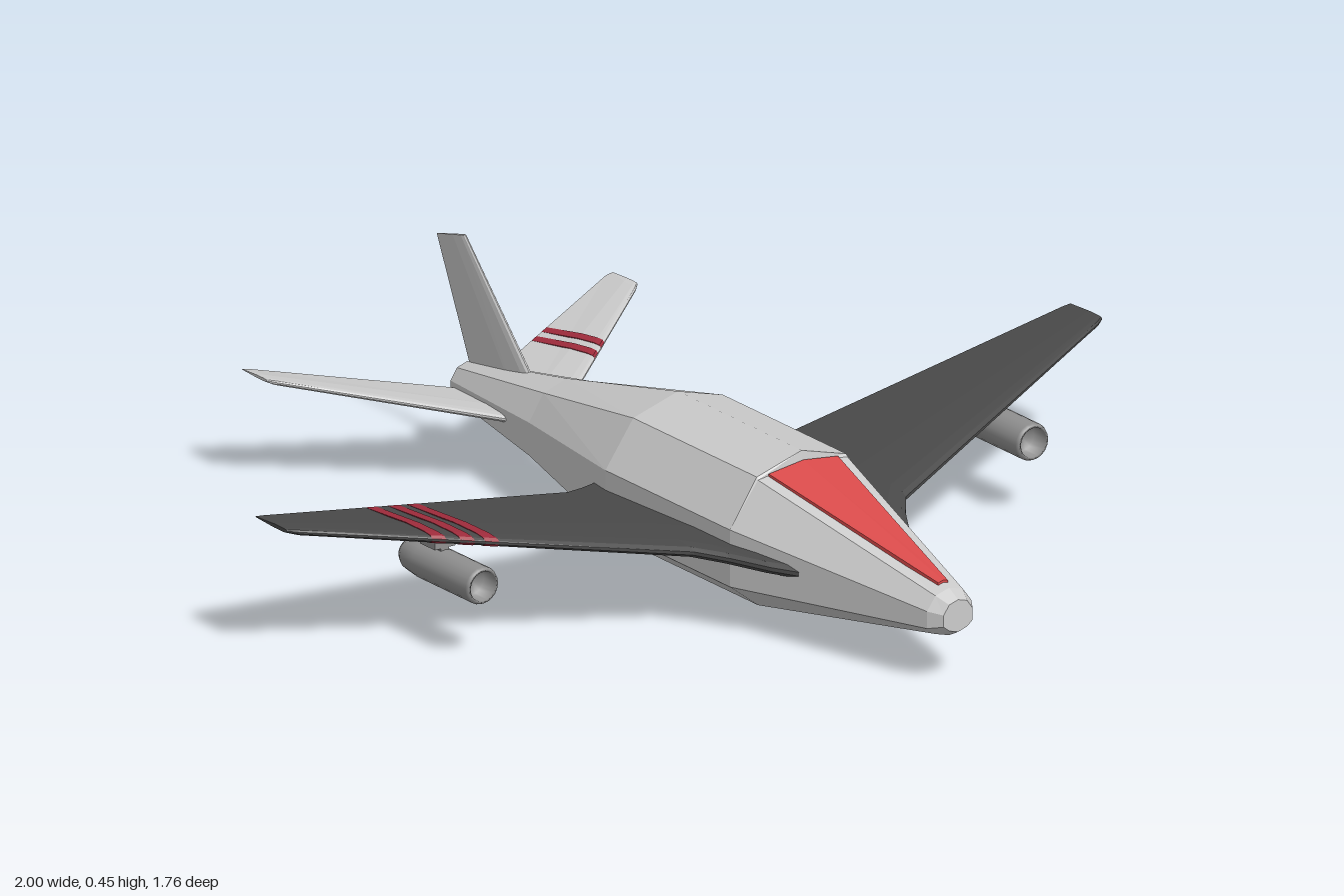
import * as THREE from 'three';

const material = (color) => new THREE.MeshStandardMaterial({ color, flatShading: true });
const grey = material(0xcccccc);
const darkGrey = material(0x4a4a4a);
const engineGrey = material(0x909090);
const red = material(0xd84a4a);
const stripeRed = material(0xa02c3c);

// Skin over equal-length closed rings of [x, y, z], with end caps; always faces outward.
function loft(rings) {
  const n = rings[0].length;
  const p = rings.flat();
  const faces = [];
  for (let r = 0; r < rings.length - 1; r++) {
    for (let i = 0; i < n; i++) {
      const a = r * n + i, b = r * n + (i + 1) % n;
      faces.push([a, b, b + n], [a, b + n, a + n]);
    }
  }
  const last = (rings.length - 1) * n;
  for (let i = 1; i < n - 1; i++) {
    faces.push([0, i + 1, i], [last, last + i, last + i + 1]);
  }
  const v = p.map((q) => new THREE.Vector3(...q));
  let volume = 0;
  for (const [a, b, c] of faces) volume += v[a].dot(v[b].clone().cross(v[c]));
  const index = faces.flatMap(([a, b, c]) => (volume < 0 ? [a, c, b] : [a, b, c]));
  const g = new THREE.BufferGeometry();
  g.setAttribute('position', new THREE.Float32BufferAttribute(p.flat(), 3));
  g.setIndex(index);
  const flat = g.toNonIndexed();
  flat.computeVertexNormals();
  return flat;
}

function add(parent, name, geometry, mat) {
  const mesh = new THREE.Mesh(geometry, mat);
  mesh.name = name;
  parent.add(mesh);
  return mesh;
}

// Aerofoil outline: [fraction of chord from the leading edge, fraction of half thickness]
const upper = [[0, 0.25], [0.03, 0.75], [0.12, 1], [0.4, 1], [1, 0.15]];
const foil = [...upper, ...upper.map(([c, t]) => [c, -t]).reverse()];

// Span stations: [x, y, leading z, trailing z, half thickness]
const wingStations = [
  [0.08, 0.155, 0.585, -0.13, 0.017], [0.13, 0.16, 0.54, -0.115, 0.017],
  [0.17, 0.165, 0.49, -0.102, 0.016], [0.215, 0.172, 0.415, -0.08, 0.015],
  [0.26, 0.178, 0.355, -0.065, 0.014], [0.98, 0.281, 0.02, -0.101, 0.007],
  [1, 0.284, 0.005, -0.1, 0.004],
];
const tailStations = [
  [0.02, 0.142, -0.475, -0.728, 0.009], [0.44, 0.231, -0.785, -0.884, 0.006],
  [0.455, 0.235, -0.8, -0.882, 0.003],
];

function stationAt(stations, x) {
  const i = Math.max(1, stations.findIndex((s) => s[0] >= x));
  const a = stations[i - 1], b = stations[i];
  const t = (x - a[0]) / (b[0] - a[0]);
  return a.map((value, k) => THREE.MathUtils.lerp(value, b[k], t));
}

const foilRing = ([x, y, lead, trail, half], side) =>
  foil.map(([c, t]) => [side * x, y + t * half, lead + (trail - lead) * c]);

// A painted band wrapped just outside a wing; slant moves its front edge outboard.
function stripe(stations, x0, x1, side, slant = 0) {
  return loft([x0, x1].map((x) => foil.map(([c, t]) => {
    const [px, y, lead, trail, half] = stationAt(stations, x + slant * (1 - c));
    return [side * px, y + t * (half + 0.0015), lead + (trail - lead) * c];
  })));
}

// Ten-sided fuselage section
const half = [[0, 1], [0.61, 0.81], [0.99, 0.24], [0.99, -0.48], [0.61, -0.8], [0, -1]];
const section = [...half, ...half.slice(1, 5).reverse().map(([x, y]) => [-x, y])];
const bodyRing = ([z, cy, rx, ry]) => section.map(([x, y]) => [x * rx, cy + y * ry, z]);

function createFuselage() {
  const rings = [
    [0.88, 0.148, 0.036, 0.034], [0.85, 0.148, 0.055, 0.05], [0.364, 0.172, 0.18, 0.167],
    [0.36, 0.172, 0.18, 0.167], [-0.05, 0.172, 0.18, 0.167],
    [-0.42, 0.158, 0.093, 0.096], [-0.75, 0.148, 0.041, 0.042],
  ].map(bodyRing);
  // Step down to the windscreen
  rings[2][0][1] = 0.316;
  rings[2][1][1] = rings[2][9][1] = 0.302;
  return loft(rings);
}

// Folded windscreen panel lying on the sloping top of the nose
function createCanopy() {
  const row = (w, ridge, edge, z) => [
    [-w, edge, z], [0, ridge, z], [w, edge, z],
    [w, edge - 0.008, z], [0, ridge - 0.008, z], [-w, edge - 0.008, z],
  ];
  return loft([row(0.085, 0.321, 0.31, 0.366), row(0.012, 0.208, 0.205, 0.83)]);
}

function createFin() {
  // [y, leading z, trailing z, half thickness]
  const levels = [[0.16, -0.475, -0.727, 0.008], [0.43, -0.735, -0.85, 0.004]];
  const rings = levels.map(([y, lead, trail, h]) =>
    foil.map(([c, t]) => [t * h, y, lead + (trail - lead) * c]));
  // Tip edge slopes down toward the rear
  rings[1].forEach((q, i) => {
    const c = foil[i][0];
    q[1] = 0.455 - 0.025 * c;
    q[2] = -0.755 - 0.095 * c;
  });
  return loft(rings);
}

function createEngine(side) {
  const engine = new THREE.Group();
  engine.name = side > 0 ? 'leftEngine' : 'rightEngine';
  // Nacelle with a hollow intake, turned so that its axis runs along z
  const profile = [[0, -0.03], [0.026, -0.03], [0.034, -0.015], [0.039, 0.03], [0.039, 0.21],
    [0.036, 0.217], [0.031, 0.217], [0.028, 0.18], [0, 0.18]];
  const shape = new THREE.LatheGeometry(profile.map(([r, z]) => new THREE.Vector2(r, z)), 20);
  shape.rotateX(Math.PI / 2);
  const smooth = engineGrey.clone();
  smooth.flatShading = false;
  add(engine, 'nacelle', shape, smooth).position.y = 0.16;
  add(engine, 'pylon', new THREE.BoxGeometry(0.02, 0.05, 0.13), engineGrey).position.set(0, 0.213, 0.025);
  add(engine, 'pylonMount', new THREE.BoxGeometry(0.05, 0.018, 0.05), engineGrey).position.set(0, 0.212, 0.065);
  engine.position.x = side * 0.675;
  return engine;
}

export function createModel() {
  const model = new THREE.Group();
  model.name = 'aircraft';
  add(model, 'fuselage', createFuselage(), grey);
  add(model, 'canopy', createCanopy(), red);
  add(model, 'tailFin', createFin(), grey);

  for (const side of [1, -1]) {
    const label = side > 0 ? 'left' : 'right';
    add(model, label + 'Wing', loft(wingStations.map((s) => foilRing(s, side))), darkGrey);
    add(model, label + 'Tailplane', loft(tailStations.map((s) => foilRing(s, side))), grey);
    model.add(createEngine(side));
  }

  // Stripes on the right wing and the left tailplane
  for (const x of [0.615, 0.66, 0.712]) {
    add(model, 'wingStripe', stripe(wingStations, x, x + 0.026, -1), stripeRed);
  }
  for (const x of [0.188, 0.222]) {
    add(model, 'tailplaneStripe', stripe(tailStations, x, x + 0.017, 1, 0.03), stripeRed);
  }
  return model;
}
